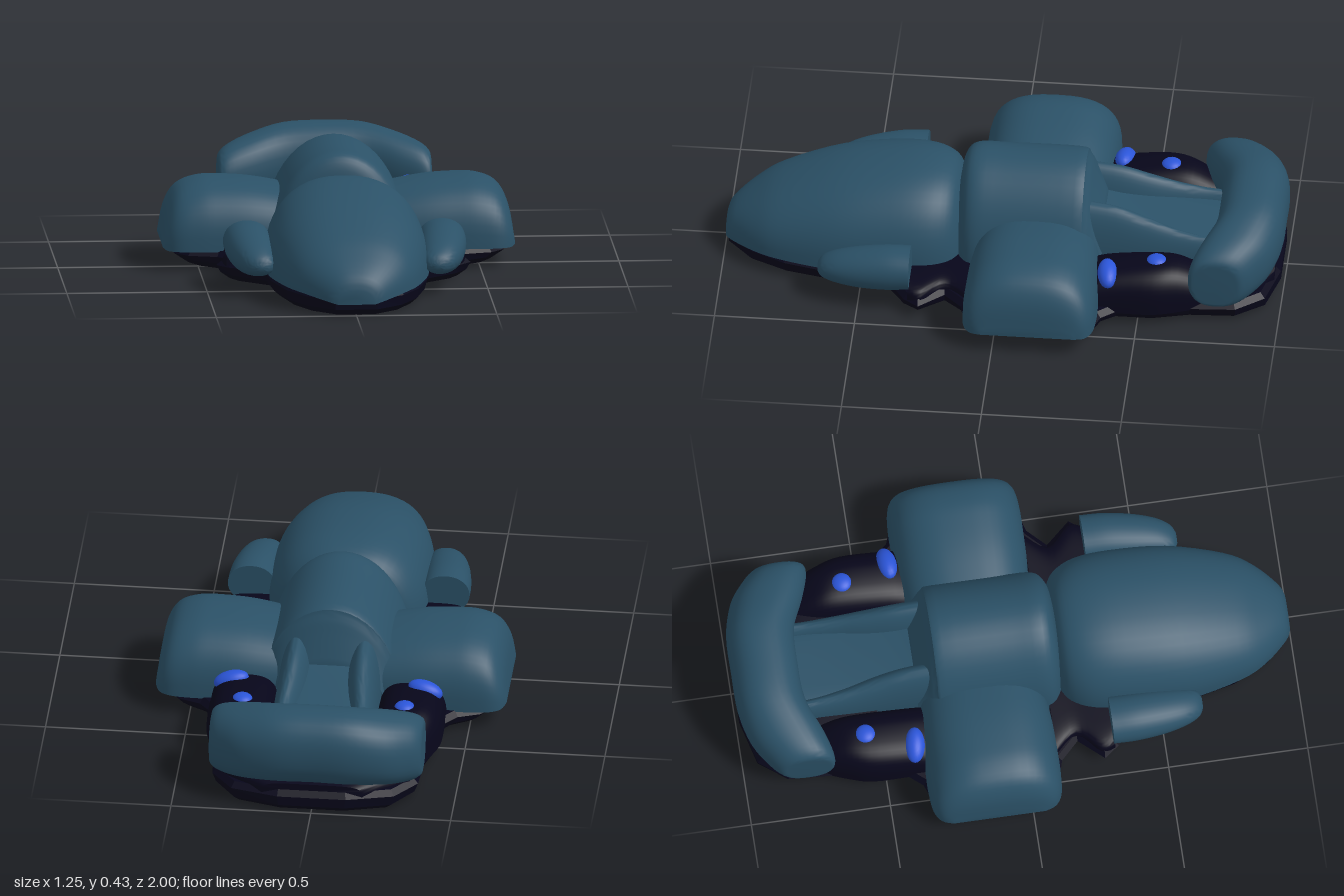
import * as THREE from 'three';
import { toCreasedNormals } from 'three/addons/utils/BufferGeometryUtils.js';

const material = (name, color) => {
  const m = new THREE.MeshStandardMaterial({ color });
  m.name = name;
  return m;
};

// Lofts rounded sections along an axis. Station: [position, centre, halfWidth, bottom, top].
// A dome has a flat bottom; a full loop is round all the way. power < 1 makes it boxier.
function loft(stations, { axis = 'z', full = false, power = 1, steps = 4, crease = 0.8 } = {}) {
  const n = full ? 32 : 25;
  const rings = (stations.length - 1) * steps;
  const curves = [0, 1, 2, 3, 4].map(k =>
    new THREE.SplineCurve(stations.map((s, i) => new THREE.Vector2(i, s[k]))));
  const pos = [], idx = [];
  const put = (s, c, y) => (axis === 'z' ? pos.push(c, y, s) : pos.push(s, y, c));
  const soft = v => Math.sign(v) * Math.abs(v) ** power;
  for (let i = 0; i <= rings; i++) {
    const [s, c, w, y0, y1] = curves.map(q => q.getPoint(i / rings).y);
    for (let j = 0; j < n; j++) {
      const a = full ? (j / n) * Math.PI * 2 : (j / (n - 1)) * Math.PI;
      const up = soft(Math.sin(a));
      put(s, c + w * soft(Math.cos(a)), full ? (y0 + y1) / 2 + up * (y1 - y0) / 2 : y0 + up * (y1 - y0));
    }
  }
  for (let i = 0; i < rings; i++) for (let j = 0; j < n; j++) {
    const a = i * n + j, b = i * n + (j + 1) % n;
    idx.push(a, b, b + n, a, b + n, a + n);
  }
  // End caps
  [0, rings].forEach((r, e) => {
    const st = stations[e ? stations.length - 1 : 0];
    const mid = pos.length / 3;
    put(st[0], st[1], (st[3] + st[4]) / 2);
    for (let j = 0; j < n; j++) {
      const a = r * n + j, b = r * n + (j + 1) % n;
      e ? idx.push(mid, a, b) : idx.push(mid, b, a);
    }
  });
  // Make faces point outward, also for mirrored parts
  let volume = 0;
  const v = k => new THREE.Vector3().fromArray(pos, k * 3);
  for (let i = 0; i < idx.length; i += 3) volume += v(idx[i]).dot(v(idx[i + 1]).cross(v(idx[i + 2])));
  if (volume < 0) idx.reverse();
  const g = new THREE.BufferGeometry();
  g.setAttribute('position', new THREE.Float32BufferAttribute(pos, 3));
  g.setIndex(idx);
  return toCreasedNormals(g, crease);
}

export function createModel() {
  const model = new THREE.Group();
  model.name = 'hoverRacer';
  const teal = material('teal shell', 0x2b5167);
  const navy = material('dark navy chassis', 0x07061a);
  const blue = material('blue light', 0x2b55d8);
  const add = (name, geometry, mat) => {
    const mesh = new THREE.Mesh(geometry, mat);
    mesh.name = name;
    model.add(mesh);
    return mesh;
  };

  // Chassis plate, outlined as half-widths along z and mirrored
  const half = [[0.07, 0.97], [0.16, 0.89], [0.22, 0.77], [0.26, 0.6], [0.275, 0.4], [0.4, 0.32],
    [0.43, 0.28], [0.35, 0.19], [0.43, 0.11], [0.53, 0.08], [0.57, 0.03], [0.57, -0.28], [0.53, -0.33],
    [0.45, -0.36], [0.40, -0.42], [0.40, -0.55], [0.36, -0.68], [0.35, -0.84], [0.28, -0.93], [0.12, -0.97]];
  const outline = [...half, ...half.slice().reverse().map(([x, z]) => [-x, z])];
  const plate = new THREE.ExtrudeGeometry(
    new THREE.Shape(outline.map(([x, z]) => new THREE.Vector2(x, -z))),
    { depth: 0.035, bevelThickness: 0.02, bevelSize: 0.018, bevelSegments: 1 });
  plate.rotateX(-Math.PI / 2).translate(0, 0.02, 0);
  // Draw the underside in and lift its outer edges
  const p = plate.attributes.position;
  for (let i = 0; i < p.count; i++) {
    const x = p.getX(i), y = p.getY(i);
    if (y > 0.03) continue;
    p.setX(i, x * (y < 0.01 ? 0.94 : 0.965));
    p.setY(i, y + Math.max(0, Math.abs(x) - 0.35) * 0.09);
  }
  plate.computeVertexNormals();
  add('chassis', plate, navy);
  add('rearChassis', loft([[-0.5, 0, 0.36, 0.05, 0.13], [-0.7, 0, 0.36, 0.05, 0.13],
    [-0.86, 0, 0.34, 0.05, 0.12], [-0.97, 0, 0.18, 0.05, 0.1]], { power: 0.4 }), navy);

  // Domed nose
  add('nose', loft([[1, 0, 0.065, 0.04, 0.09], [0.98, 0, 0.105, 0.05, 0.135], [0.9, 0, 0.182, 0.065, 0.2],
    [0.8, 0, 0.235, 0.07, 0.26], [0.6, 0, 0.282, 0.07, 0.335], [0.4, 0, 0.29, 0.07, 0.371],
    [0.27, 0, 0.278, 0.07, 0.372], [0.19, 0, 0.24, 0.07, 0.345], [0.155, 0, 0.19, 0.07, 0.29]],
  { power: 0.85 }), teal);

  // Raised cockpit canopy, flaring down between the side pods
  add('canopy', loft([[0.165, 0, 0.17, 0.07, 0.31], [0.15, 0, 0.21, 0.07, 0.385], [0.11, 0, 0.245, 0.07, 0.423],
    [0, 0, 0.25, 0.07, 0.425], [-0.25, 0, 0.25, 0.07, 0.425], [-0.29, 0, 0.24, 0.07, 0.4],
    [-0.32, 0, 0.22, 0.07, 0.33], [-0.355, 0, 0.2, 0.07, 0.24]]), teal);

  // Low rear deck between the fins
  add('rearDeck', loft([[-0.28, 0, 0.18, 0.07, 0.25], [-0.4, 0, 0.18, 0.07, 0.22],
    [-0.6, 0, 0.18, 0.07, 0.19], [-0.8, 0, 0.18, 0.07, 0.17]], { power: 0.4 }), teal);

  // Curved rear wing with drooping ends
  const wingSide = [[0.38, -0.775, 0.07, 0.085, 0.235], [0.375, -0.777, 0.095, 0.07, 0.262],
    [0.34, -0.795, 0.115, 0.06, 0.29], [0.26, -0.835, 0.13, 0.065, 0.32], [0.14, -0.875, 0.122, 0.075, 0.35]];
  add('rearWing', loft([...wingSide, [0, -0.88, 0.12, 0.08, 0.356],
    ...wingSide.slice().reverse().map(([x, ...r]) => [-x, ...r])],
  { axis: 'x', full: true, power: 0.85 }), teal);

  for (const s of [1, -1]) {
    const side = s > 0 ? 'left' : 'right';
    const mirrorZ = a => a.map(([z, x, ...r]) => [z, s * x, ...r]);
    const mirrorX = a => a.map(([x, ...r]) => [s * x, ...r]);

    // Wide side pod
    add(side + 'SidePod', loft(mirrorX([[0.15, -0.125, 0.22, 0.07, 0.265], [0.3, -0.125, 0.235, 0.07, 0.293],
      [0.42, -0.125, 0.238, 0.07, 0.302], [0.5, -0.125, 0.238, 0.07, 0.298], [0.57, -0.125, 0.23, 0.07, 0.268],
      [0.61, -0.125, 0.205, 0.07, 0.2], [0.627, -0.125, 0.165, 0.075, 0.1]]),
    { axis: 'x', power: 0.75 }), teal);

    // Front fender pod with its dark mount
    add(side + 'FrontFender', loft(mirrorZ([[0.315, 0.347, 0.085, 0.075, 0.222], [0.4, 0.345, 0.085, 0.065, 0.22],
      [0.5, 0.337, 0.079, 0.063, 0.202], [0.58, 0.328, 0.066, 0.07, 0.178], [0.63, 0.318, 0.048, 0.08, 0.15],
      [0.648, 0.315, 0.02, 0.095, 0.125]]), { full: true, power: 0.95 }), teal);
    add(side + 'FenderMount', loft(mirrorZ([[0.32, 0.25, 0.17, 0.05, 0.11], [0.27, 0.25, 0.18, 0.05, 0.108],
      [0.19, 0.2, 0.16, 0.05, 0.105], [0.11, 0.22, 0.2, 0.05, 0.105]]), { power: 0.4 }), navy);

    // Dark engine hump
    add(side + 'Engine', loft(mirrorZ([[-0.32, 0.3, 0.12, 0.05, 0.16], [-0.4, 0.3, 0.12, 0.05, 0.185],
      [-0.55, 0.3, 0.119, 0.05, 0.203], [-0.64, 0.29, 0.105, 0.05, 0.195], [-0.73, 0.28, 0.08, 0.05, 0.15]]),
    { power: 0.72 }), navy);

    // Engine lights
    const top = add(side + 'TopLight', new THREE.SphereGeometry(0.037, 20, 14), blue);
    top.scale.y = 0.6;
    top.position.set(s * 0.29, 0.194, -0.56);
    const front = add(side + 'FrontLight', new THREE.SphereGeometry(1, 20, 14), blue);
    front.scale.set(0.064, 0.034, 0.036);
    front.position.set(s * 0.347, 0.17, -0.39);
    front.rotation.set(0, s * 0.12, s * -0.25);

    // Tapering fin beside the rear deck
    add(side + 'RearFin', loft(mirrorZ([[-0.28, 0.12, 0.065, 0.1, 0.315], [-0.4, 0.122, 0.062, 0.1, 0.298],
      [-0.5, 0.128, 0.056, 0.1, 0.265], [-0.6, 0.138, 0.045, 0.1, 0.23], [-0.7, 0.145, 0.036, 0.1, 0.207],
      [-0.78, 0.148, 0.033, 0.1, 0.2]])), teal);
  }
  return model;
}
